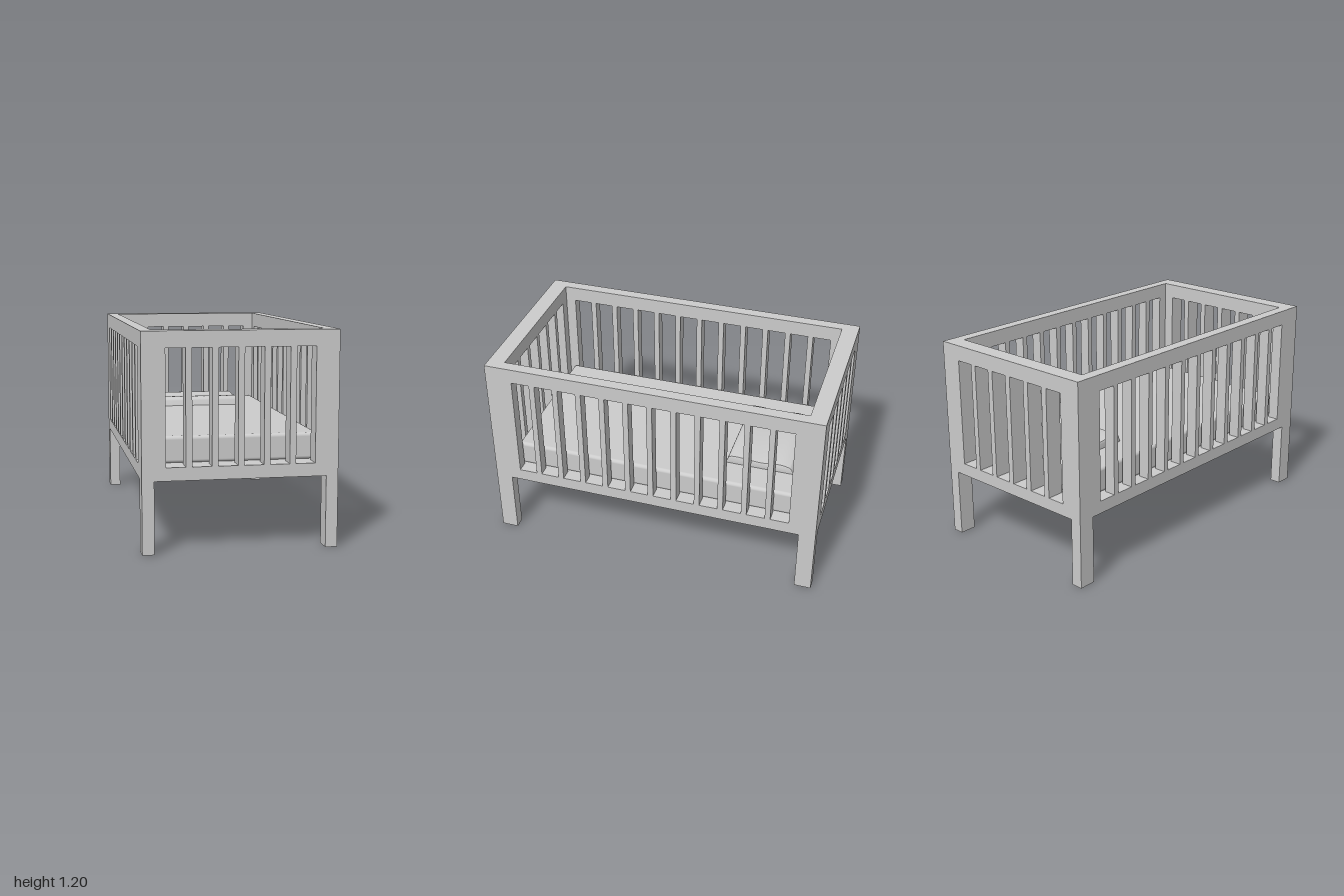
import * as THREE from 'three';
import { RoundedBoxGeometry } from 'three/addons/geometries/RoundedBoxGeometry.js';
import { toCreasedNormals } from 'three/addons/utils/BufferGeometryUtils.js';

const HALF_W = 0.54, HALF_L = 1, BASE = 0.4, TOP = 1.2;
const SIDE_T = 0.067, END_T = 0.1;
const PITCH = 0.1425;

function rect(target, x0, x1, y0, y1) {
  target.moveTo(x0, y0);
  target.lineTo(x1, y0);
  target.lineTo(x1, y1);
  target.lineTo(x0, y1);
  target.closePath();
  return target;
}

// Panel with a row of slots; the material left between them forms the slats
function slattedPanel(halfWidth, slots, slatWidth, thickness) {
  const shape = rect(new THREE.Shape(), -halfWidth, halfWidth, BASE, TOP);
  const half = (PITCH - slatWidth) / 2;
  for (let i = 0; i < slots; i++) {
    const c = (i - (slots - 1) / 2) * PITCH;
    shape.holes.push(rect(new THREE.Path(), c - half, c + half, 0.473, 1.11));
  }
  return new THREE.ExtrudeGeometry(shape, { depth: thickness, bevelEnabled: false })
    .translate(0, 0, -thickness / 2);
}

export function createModel() {
  const model = new THREE.Group();
  model.name = 'cot';
  const mat = new THREE.MeshStandardMaterial({ color: 0xcccccc });
  const openMat = new THREE.MeshStandardMaterial({ color: 0xcccccc, side: THREE.DoubleSide });
  const add = (name, geo, x, y, z, material = mat) => {
    const mesh = new THREE.Mesh(geo, material);
    mesh.name = name;
    mesh.position.set(x, y, z);
    model.add(mesh);
    return mesh;
  };

  // Long sides run the full length, the ends fit between them
  const sideGeo = slattedPanel(HALF_L, 12, 0.033, SIDE_T).rotateY(Math.PI / 2);
  add('leftSide', sideGeo, HALF_W - SIDE_T / 2, 0, 0);
  add('rightSide', sideGeo, -HALF_W + SIDE_T / 2, 0, 0);
  const endGeo = slattedPanel(HALF_W - SIDE_T, 6, 0.035, END_T);
  add('footEnd', endGeo, 0, 0, HALF_L - END_T / 2);
  add('headEnd', endGeo, 0, 0, -HALF_L + END_T / 2);

  // Hollow legs, open at the bottom
  const legGeo = new THREE.BoxGeometry(SIDE_T, BASE, END_T);
  const index = Array.from(legGeo.index.array);
  index.splice(18, 6);
  legGeo.setIndex(index);
  legGeo.clearGroups();
  for (const sx of [1, -1]) {
    for (const sz of [1, -1]) {
      const name = (sz > 0 ? 'front' : 'back') + (sx > 0 ? 'Left' : 'Right') + 'Leg';
      add(name, legGeo, sx * (HALF_W - SIDE_T / 2), BASE / 2, sz * (HALF_L - END_T / 2), openMat);
    }
  }

  // Floor and mattress
  add('floor', new THREE.BoxGeometry(2 * (HALF_W - SIDE_T), 0.073, 2 * (HALF_L - END_T)), 0, BASE + 0.0365, 0);
  add('mattress', new RoundedBoxGeometry(0.925, 0.15, 1.745, 4, 0.02), 0, 0.545, -0.007);

  // Pillow: shallow dipped profile swept across the width
  const profile = new THREE.Shape();
  profile.moveTo(0.39, 0.61);
  profile.lineTo(0.40, 0.64);
  profile.splineThru([[0.415, 0.664], [0.47, 0.668], [0.6, 0.658], [0.71, 0.668], [0.77, 0.658], [0.785, 0.645]]
    .map(([z, y]) => new THREE.Vector2(z, y)));
  profile.lineTo(0.8, 0.61);
  profile.closePath();
  const pillowGeo = new THREE.ExtrudeGeometry(profile, {
    depth: 0.535, curveSegments: 6, bevelThickness: 0.009, bevelSize: 0.006, bevelOffset: -0.002, bevelSegments: 2,
  }).translate(0, 0, -0.2675).rotateY(Math.PI / 2);
  add('pillow', toCreasedNormals(pillowGeo, 0.7), 0, 0, 0);

  return model;
}
